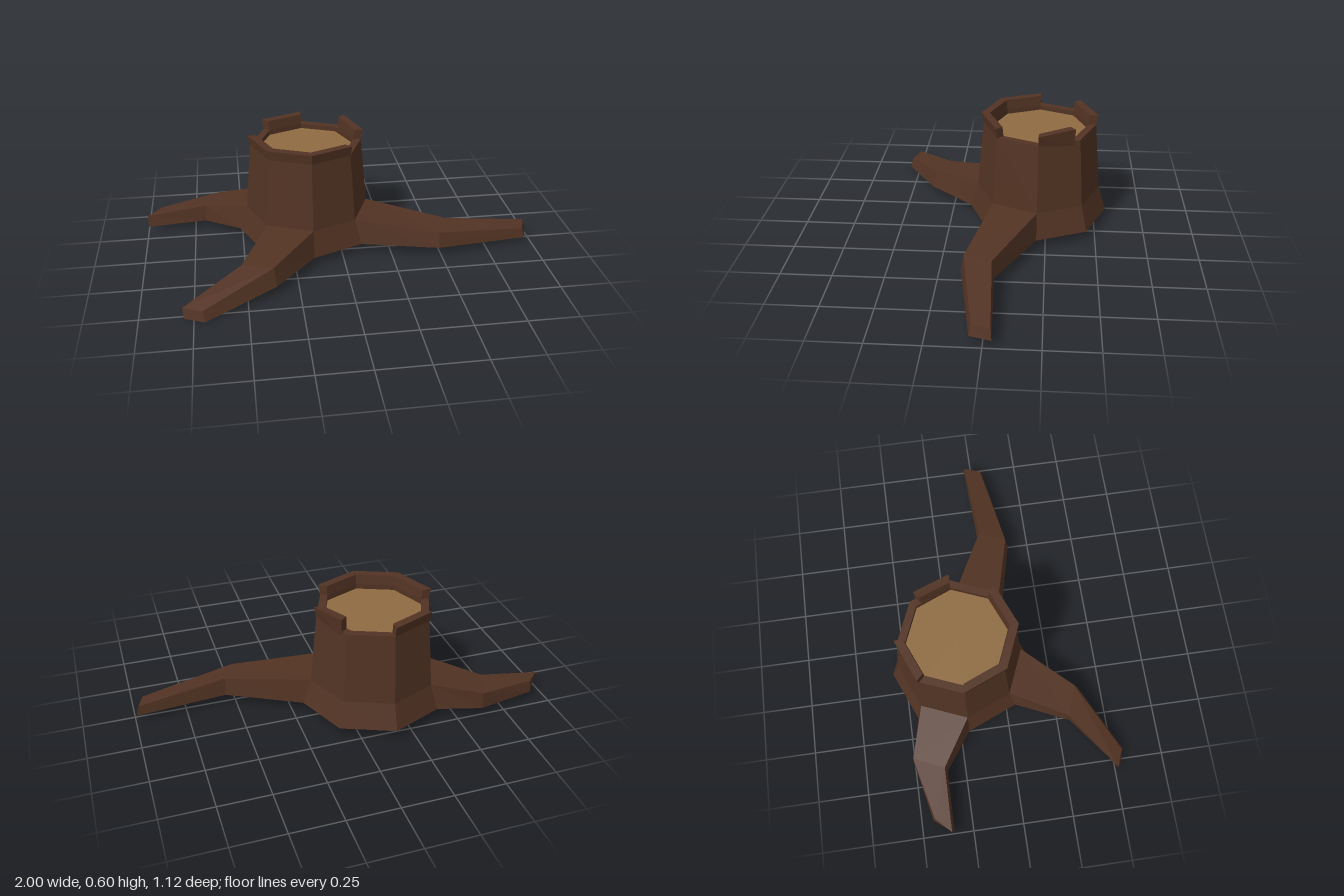
import * as THREE from 'three';

const CX = -0.155, CZ = -0.205, SIDES = 8;
const bark = new THREE.MeshStandardMaterial({ color: 0x523323, flatShading: true });
const wood = new THREE.MeshStandardMaterial({ color: 0x8f6c42, flatShading: true });

// Point on the trunk octagon; step may be fractional (it then lies on the flat panel)
function onTrunk(step, radius, y) {
  const corner = (k) => {
    const a = (k * Math.PI * 2) / SIDES;
    return [CX + radius * Math.cos(a), CZ + radius * Math.sin(a)];
  };
  const k = Math.floor(step), t = step - k;
  const a = corner(k), b = corner(k + 1);
  return [a[0] + (b[0] - a[0]) * t, y, a[1] + (b[1] - a[1]) * t];
}

// Skin through four-cornered rings, counter-clockwise seen from the far end
function loft(rings, startCap) {
  const pos = [];
  const quad = (a, b, c, d) => pos.push(...a, ...b, ...c, ...a, ...c, ...d);
  for (let r = 0; r < rings.length - 1; r++) {
    const a = rings[r], b = rings[r + 1];
    for (let i = 0; i < 4; i++) {
      const j = (i + 1) % 4;
      quad(a[i], a[j], b[j], b[i]);
    }
  }
  quad(...rings[rings.length - 1]);
  if (startCap) quad(...[...rings[0]].reverse());
  const g = new THREE.BufferGeometry();
  g.setAttribute('position', new THREE.Float32BufferAttribute(pos, 3));
  g.computeVertexNormals();
  return g;
}

export function createModel() {
  const model = new THREE.Group();
  model.name = 'treeStump';
  const add = (name, geometry, material) => {
    const mesh = new THREE.Mesh(geometry, material);
    mesh.name = name;
    model.add(mesh);
    return mesh;
  };

  // Flared trunk with a shallow recess in the top
  const profile = [[0, 0.05], [0.355, 0.05], [0.315, 0.18], [0.285, 0.53], [0.245, 0.53], [0.245, 0.5]]
    .map(([x, y]) => new THREE.Vector2(x, y));
  add('trunk', new THREE.LatheGeometry(profile, SIDES), bark).position.set(CX, 0, CZ);

  // Cut wood face
  const face = add('cutFace', new THREE.CircleGeometry(0.246, SIDES), wood);
  face.rotation.x = -Math.PI / 2;
  face.position.set(CX, 0.505, CZ);

  // Raised bark pieces: each entry is [step around trunk, bottom y, top y]
  const rims = [
    [[1, 0.53, 0.58], [2, 0.53, 0.58], [3, 0.53, 0.58], [4, 0.53, 0.58]],
    [[5, 0.53, 0.58], [6, 0.53, 0.58]],
    [[7.15, 0.5, 0.595], [8, 0.53, 0.58]],
  ];
  rims.forEach((pieces, i) => {
    const rings = pieces.map(([s, low, high]) => [
      onTrunk(s, 0.286, low), onTrunk(s, 0.295, high),
      onTrunk(s, 0.252, high), onTrunk(s, 0.245, low),
    ]);
    add('barkRim' + (i + 1), loft(rings, true), bark);
  });

  // Roots grow out of one trunk panel through a knee to a blunt tip
  const roots = [
    { name: 'leftRoot', step: 0,
      knee: [[0.55, 0.05, -0.02], [0.545, 0.14, -0.01], [0.485, 0.13, 0.125], [0.485, 0.05, 0.14]],
      tip: [[0.995, 0.035, -0.04], [0.98, 0.085, -0.035], [0.95, 0.08, 0.05], [0.96, 0.03, 0.06]] },
    { name: 'frontRoot', step: 2,
      knee: [[-0.36, 0.045, 0.38], [-0.37, 0.135, 0.355], [-0.52, 0.13, 0.30], [-0.525, 0.045, 0.31]],
      tip: [[-0.7, 0, 0.56], [-0.71, 0.05, 0.545], [-0.8, 0.055, 0.51], [-0.795, 0.005, 0.525]] },
    { name: 'rightRoot', step: 4,
      knee: [[-0.695, 0.04, -0.34], [-0.69, 0.125, -0.35], [-0.625, 0.125, -0.5], [-0.625, 0.04, -0.505]],
      tip: [[-1, 0.02, -0.345], [-1, 0.08, -0.355], [-0.925, 0.09, -0.43], [-0.925, 0.03, -0.44]] },
  ];
  for (const { name, step, knee, tip } of roots) {
    const base = [
      onTrunk(step, 0.355, 0.05), onTrunk(step, 0.315, 0.18),
      onTrunk(step + 1, 0.315, 0.18), onTrunk(step + 1, 0.355, 0.05),
    ];
    add(name, loft([base, knee, tip], false), bark);
  }

  return model;
}
